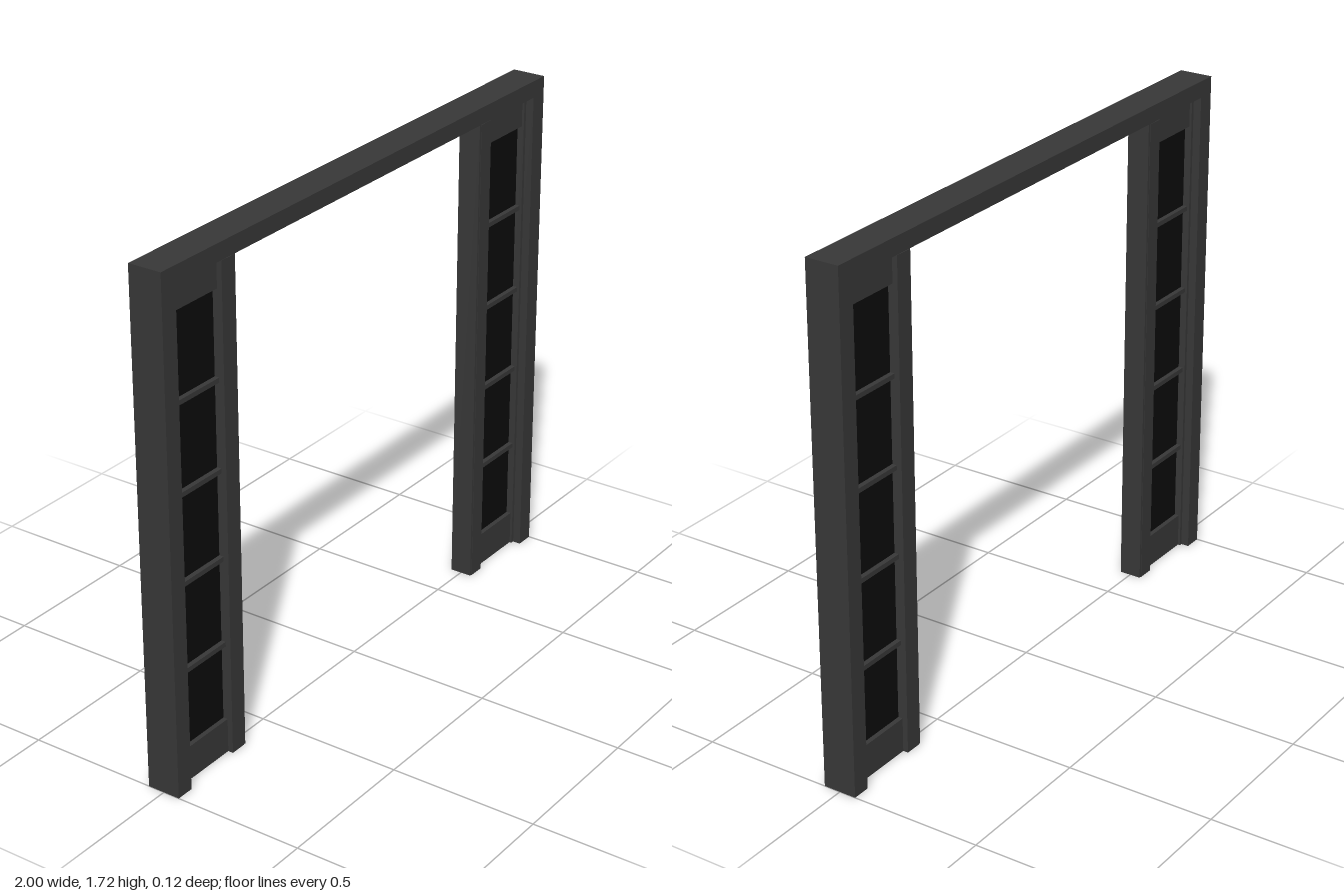
import * as THREE from 'three';

const dark = new THREE.MeshStandardMaterial({ color: 0x383838 });
const black = new THREE.MeshStandardMaterial({ color: 0x0c0c0c });

// Box given by its x and y limits, centred on z = 0
function slab(name, x0, x1, y0, y1, depth, material = dark) {
  const mesh = new THREE.Mesh(new THREE.BoxGeometry(x1 - x0, y1 - y0, depth), material);
  mesh.position.set((x0 + x1) / 2, (y0 + y1) / 2, 0);
  mesh.name = name;
  return mesh;
}

// Upside-down U: outer and inner half width and height
function portal(name, outerX, outerY, innerX, innerY, depth) {
  const shape = new THREE.Shape([
    [-outerX, 0], [-innerX, 0], [-innerX, innerY], [innerX, innerY],
    [innerX, 0], [outerX, 0], [outerX, outerY], [-outerX, outerY],
  ].map(([x, y]) => new THREE.Vector2(x, y)));
  const geometry = new THREE.ExtrudeGeometry(shape, { depth, bevelEnabled: false });
  geometry.translate(0, 0, -depth / 2);
  const mesh = new THREE.Mesh(geometry, dark);
  mesh.name = name;
  return mesh;
}

// Glazed side panel between the outer jamb and the opening
function sidePanel(name, side) {
  const panel = new THREE.Group();
  panel.name = name;
  const add = (part, x0, x1, ...rest) => panel.add(
    side > 0 ? slab(part, x0, x1, ...rest) : slab(part, -x1, -x0, ...rest));

  add('post', 0.652, 0.709, 0, 1.65, 0.08);
  add('postEdgeStrip', 0.644, 0.652, 0, 1.65, 0.077);
  add('bottomRail', 0.709, 0.927, 0, 0.117, 0.044);
  add('topRail', 0.709, 0.927, 1.56, 1.65, 0.044);
  add('glass', 0.709, 0.927, 0.117, 1.56, 0.012, black);
  // Four glazing bars divide the glass into five panes
  for (let i = 0; i < 4; i++) {
    const y = 0.385 + i * 0.2957;
    add('glazingBar', 0.709, 0.927, y - 0.008, y + 0.008, 0.044);
  }
  return panel;
}

export function createModel() {
  const model = new THREE.Group();
  model.name = 'doorway';
  model.add(
    portal('outerFrame', 1, 1.72, 0.938, 1.663, 0.115),
    portal('innerStop', 0.938, 1.663, 0.927, 1.65, 0.06),
    sidePanel('leftSidePanel', 1),
    sidePanel('rightSidePanel', -1),
  );
  return model;
}
